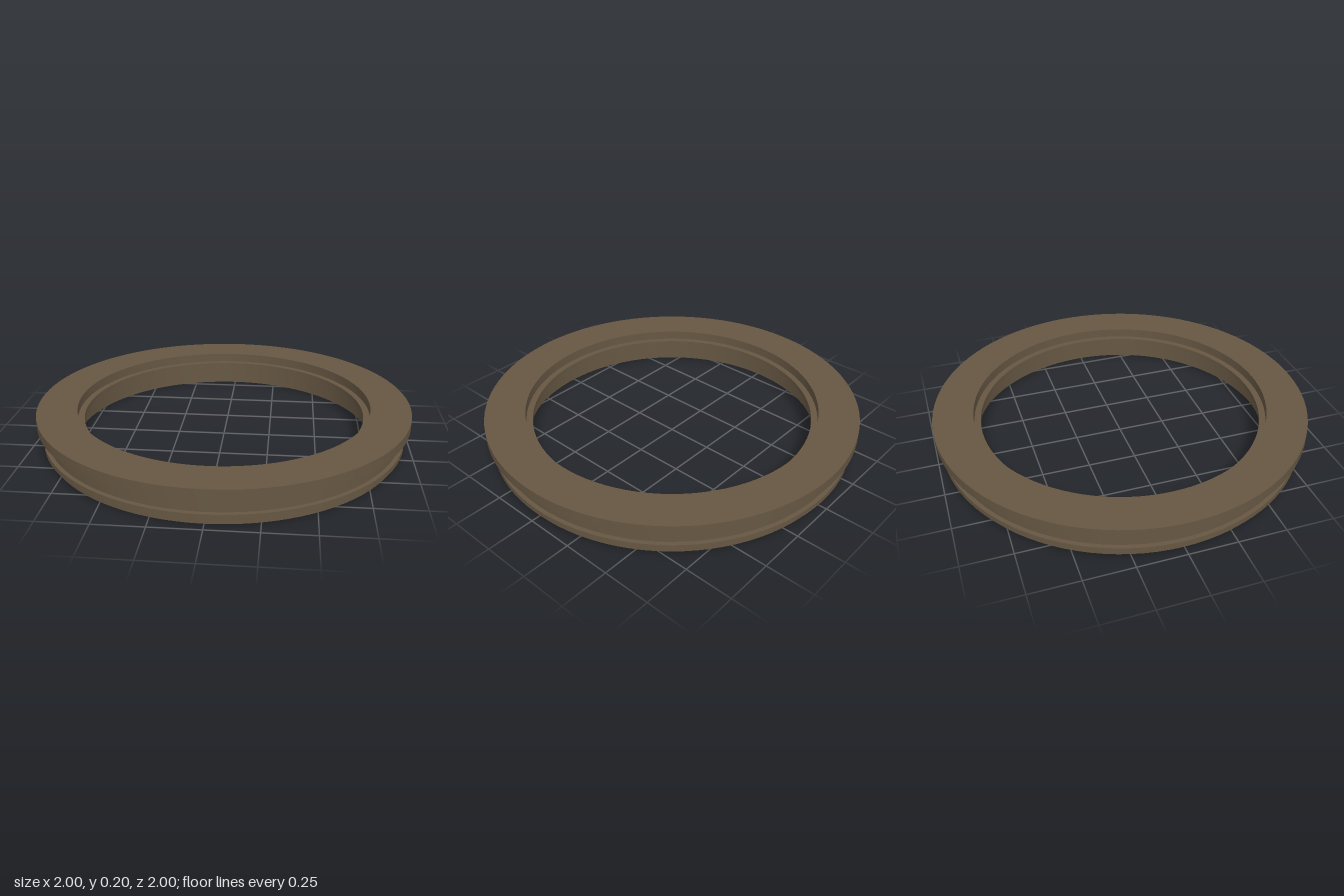
import * as THREE from 'three';
import { toCreasedNormals } from 'three/addons/utils/BufferGeometryUtils.js';

export function createModel() {
  const group = new THREE.Group();
  group.name = 'flangedRing';
  const bronze = new THREE.MeshStandardMaterial({ color: 0x665743 });
  bronze.name = 'dark bronze';

  // Closed cross-section [radius, height]: up the outside, down the inside
  const profile = [
    [0.81, 0], [0.95, 0],
    // small outer rib
    [0.95, 0.032], [0.972, 0.032], [0.972, 0.06], [0.95, 0.06],
    // top flange
    [0.95, 0.148], [1, 0.148], [1, 0.2], [0.787, 0.2],
    // inner lip
    [0.787, 0.15], [0.753, 0.15], [0.753, 0.126], [0.787, 0.126],
    // bottom recess
    [0.787, 0.03], [0.81, 0.03], [0.81, 0],
  ].map(([r, y]) => new THREE.Vector2(r, y));

  const geometry = toCreasedNormals(new THREE.LatheGeometry(profile, 96), Math.PI / 6);
  const ring = new THREE.Mesh(geometry, bronze);
  ring.name = 'ringBody';
  group.add(ring);
  return group;
}
